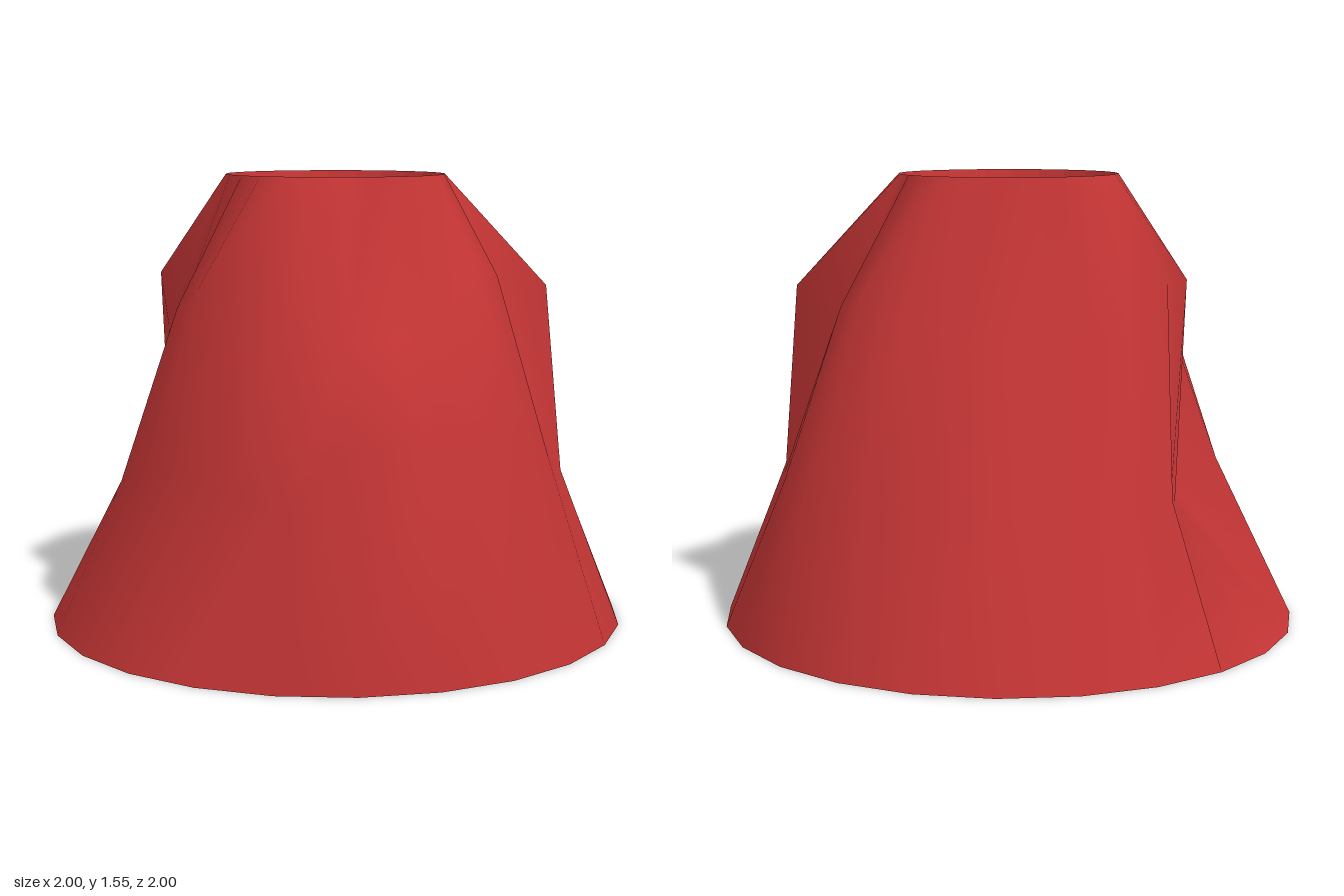
import * as THREE from 'three';

const SIDES = 24;

// Skin a list of rings; each ring gives [radius, height] for every 15 degree step from +x towards +z
function skinRings(rings) {
  const pos = [], index = [];
  rings.forEach((ring) => {
    for (let j = 0; j < SIDES; j++) {
      const a = (j / SIDES) * Math.PI * 2;
      const [r, y] = ring(j);
      pos.push(Math.cos(a) * r, y, Math.sin(a) * r);
    }
  });
  for (let i = 0; i < rings.length - 1; i++) {
    for (let j = 0; j < SIDES; j++) {
      const a = i * SIDES + j, b = i * SIDES + (j + 1) % SIDES;
      index.push(a, a + SIDES, b, b, a + SIDES, b + SIDES);
    }
  }
  const geo = new THREE.BufferGeometry();
  geo.setAttribute('position', new THREE.Float32BufferAttribute(pos, 3));
  geo.setIndex(index);
  geo.computeVertexNormals();
  return geo;
}

const circle = (r, y) => () => [r, y];
const uneven = (radii, heights) => (j) => [radii[j], heights[j]];

export function createModel() {
  const group = new THREE.Group();
  group.name = 'volcano';
  const red = new THREE.MeshStandardMaterial({ color: 0xc23434, side: THREE.DoubleSide });
  red.name = 'rock red';

  // Uneven rings of bulges and dents on the slope
  const lower = uneven(
    [.80, .85, .88, .89, .79, .76, .75, .76, .77, .58, .60, .64,
      .78, .79, .79, .79, .80, .84, .88, .84, .79, .79, .79, .79],
    [.76, .75, .74, .74, .53, .57, .62, .57, .52, .45, .43, .43,
      .52, .52, .52, .52, .53, .55, .57, .55, .53, .53, .54, .62]);
  const upper = uneven(
    [.60, .59, .58, .58, .70, .69, .67, .63, .58, .58, .63, .62,
      .59, .58, .52, .58, .59, .62, .65, .63, .59, .74, .58, .60],
    [1.28, 1.04, 1.03, 1.03, 1.2, 1.2, 1.2, 1.12, 1.03, 1.03, 1.2, 1.21,
      1.08, 1.03, .98, 1.03, 1.03, 1.12, 1.17, 1.12, 1.03, 1.16, 1.04, 1.22]);

  // Outer slope, open underneath
  const slope = new THREE.Mesh(
    skinRings([circle(1, 0), lower, upper, circle(.378, 1.55)]), red);
  slope.name = 'slope';

  // Faceted crater funnel, open at its bottom
  const funnel = skinRings([circle(.378, 1.55), circle(.2, .93)]).toNonIndexed();
  funnel.computeVertexNormals();
  const crater = new THREE.Mesh(funnel, red);
  crater.name = 'crater';

  group.add(slope, crater);
  return group;
}
